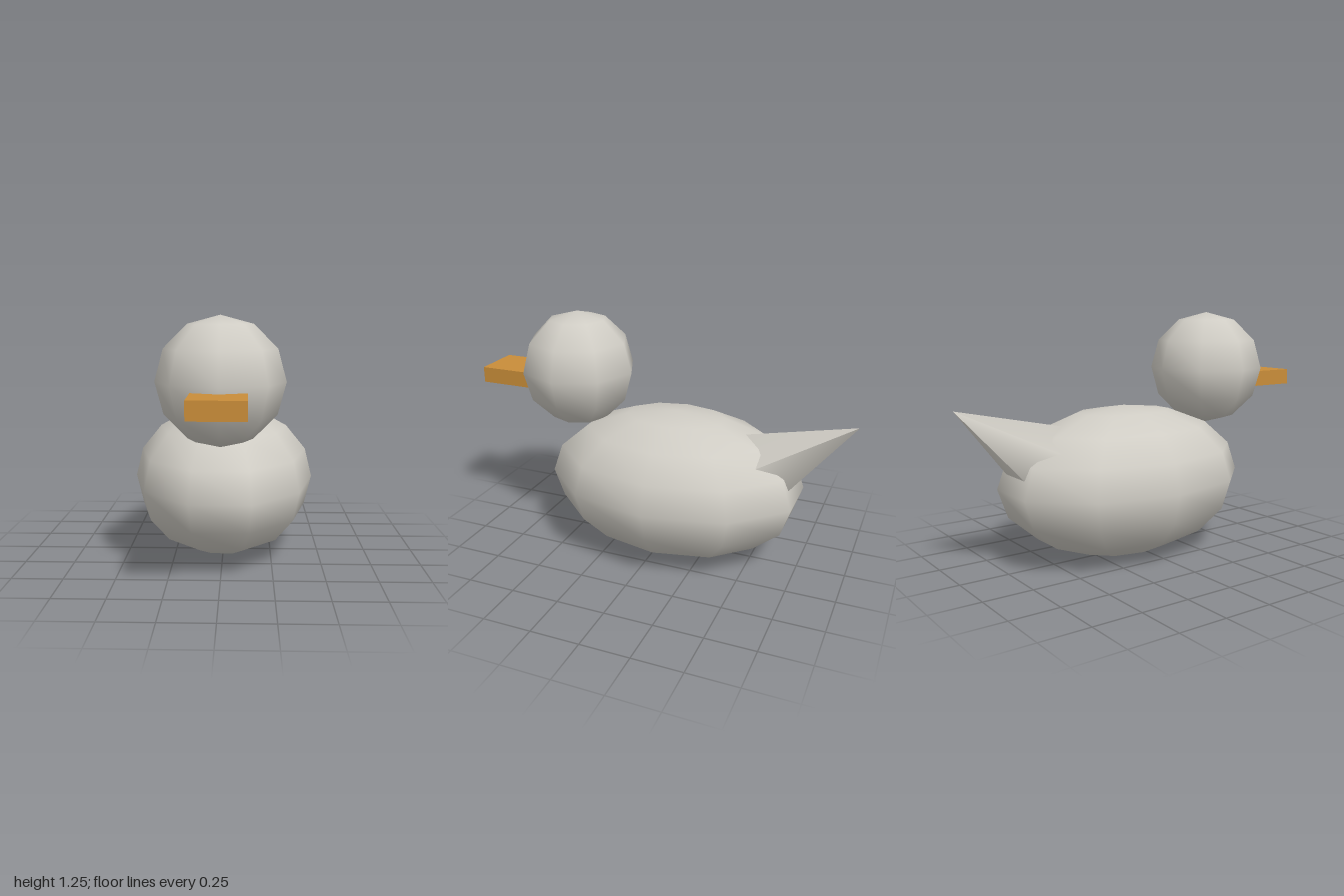
import * as THREE from 'three';

const plumage = new THREE.MeshStandardMaterial({ color: 0xcfccc4 });
plumage.name = 'plumage grey';
const orange = new THREE.MeshStandardMaterial({ color: 0xc98d39 });
orange.name = 'beak orange';

function part(name, geometry, material, x, y, z) {
  const mesh = new THREE.Mesh(geometry, material);
  mesh.name = name;
  mesh.position.set(x, y, z);
  return mesh;
}

export function createModel() {
  const duck = new THREE.Group();
  duck.name = 'duck';

  // Body: low-poly sphere stretched from front to back
  const body = part('body', new THREE.SphereGeometry(1, 10, 8), plumage, 0, 0.39, -0.073);
  body.scale.set(0.47, 0.387, 0.69);
  duck.add(body);

  // Head
  duck.add(part('head', new THREE.SphereGeometry(0.303, 8, 6), plumage, 0, 0.945, 0.48));

  // Beak: flat box whose back end sits inside the head
  duck.add(part('beak', new THREE.BoxGeometry(0.25, 0.083, 0.45), orange, 0, 0.877, 0.775));

  // Tail: five-sided cone with its tip at the group origin, tilted up and back
  const height = 0.65;
  const tailGeometry = new THREE.ConeGeometry(0.37 * height, height, 5);
  tailGeometry.translate(0, -height / 2, 0);
  const tail = part('tail', tailGeometry, plumage, 0, 0.816, -1);
  tail.rotation.x = -THREE.MathUtils.degToRad(57.7);
  duck.add(tail);

  return duck;
}
